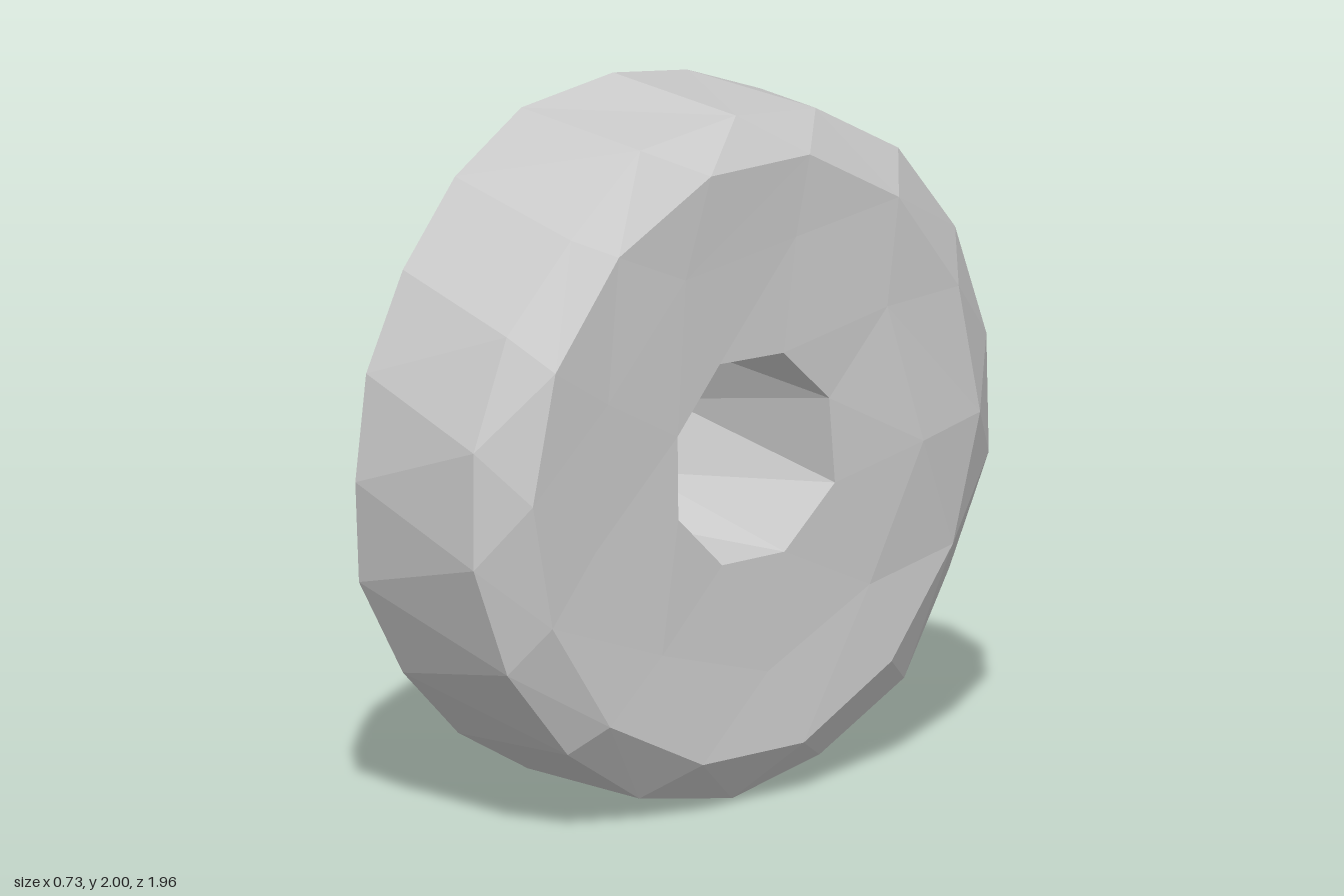
import * as THREE from 'three';

// Small seeded generator giving values from -1 to 1
function seeded(seed) {
  return () => {
    seed = (seed * 16807) % 2147483647;
    return (seed / 2147483647) * 2 - 1;
  };
}

// Cross-section rings from the right side of the hole, around the rim, to the left side.
// Angles run in degrees from the top towards the back; dents are [index, radius change, x change].
const rings = [
  { name: 'rightHole', count: 8, start: 22, r: 0.312, x: 0.33, dr: 0.012, dx: 0.005, dents: [[2, 0.02, 0]] },
  { name: 'rightFace', count: 9, start: 15, r: 0.62, x: 0.335, dr: 0.02, dx: 0.01, dents: [[2, 0, 0.035]] },
  { name: 'rightChamfer', count: 14, start: 14, r: 0.855, x: 0.342, dr: 0.015, dx: 0.01, dents: [] },
  { name: 'rightRim', count: 18, start: 0, r: 0.985, x: 0.24, dr: 0.01, dx: 0.022, dents: [[0, -0.02, 0], [15, -0.02, 0], [16, -0.05, 0]] },
  { name: 'leftRim', count: 20, start: 0, r: 0.99, x: -0.262, dr: 0.01, dx: 0.025, dents: [[2, 0.045, -0.01]] },
  { name: 'leftChamfer', count: 14, start: 8, r: 0.845, x: -0.356, dr: 0.015, dx: 0.012, dents: [] },
  { name: 'leftFace', count: 9, start: 20, r: 0.6, x: -0.355, dr: 0.02, dx: 0.01, dents: [] },
  { name: 'leftHole', count: 8, start: 2, r: 0.287, x: -0.335, dr: 0.01, dx: 0.005, dents: [] },
];

// Roughly chipped ring, slightly taller than deep
function makeRing({ count, start, r, x, dr, dx, dents }, random) {
  const ring = Array.from({ length: count }, (_, i) => {
    const angle = start + (i * 360) / count;
    const t = THREE.MathUtils.degToRad(angle);
    const chip = dr * random() * Math.abs(Math.sin(2 * t));
    return { angle, r: r * (1 + 0.01 * Math.cos(2 * t)) + chip, x: x + dx * random() };
  });
  for (const [i, radial, axial] of dents) {
    ring[i].r += radial;
    ring[i].x += axial;
  }
  return ring;
}

// Stitch two closed rings of different counts, stepping along whichever lags in angle
function stitch(a, b, positions) {
  const at = (ring, i) => {
    const p = ring[i % ring.length];
    const t = THREE.MathUtils.degToRad(p.angle);
    return [p.x, 1 + p.r * Math.cos(t), -p.r * Math.sin(t)];
  };
  const angle = (ring, i) => ring[i % ring.length].angle + 360 * Math.floor(i / ring.length);
  let i = 0;
  let j = 0;
  while (i < a.length || j < b.length) {
    const stepA = j >= b.length || (i < a.length && angle(a, i + 1) <= angle(b, j + 1));
    const next = stepA ? at(a, i + 1) : at(b, j + 1);
    positions.push(...at(a, i), ...next, ...at(b, j));
    if (stepA) i++;
    else j++;
  }
}

export function createModel() {
  const random = seeded(4711);
  const loops = rings.map((ring) => makeRing(ring, random));
  const positions = [];
  loops.forEach((loop, k) => stitch(loop, loops[(k + 1) % loops.length], positions));

  const geometry = new THREE.BufferGeometry();
  geometry.setAttribute('position', new THREE.Float32BufferAttribute(positions, 3));
  geometry.computeVertexNormals();

  // Rough-hewn stone wheel with a hole through the hub
  const wheel = new THREE.Mesh(
    geometry,
    new THREE.MeshStandardMaterial({ color: 0xcccccc, flatShading: true }),
  );
  wheel.name = 'stoneWheel';

  const group = new THREE.Group();
  group.name = 'wheel';
  group.add(wheel);
  return group;
}
